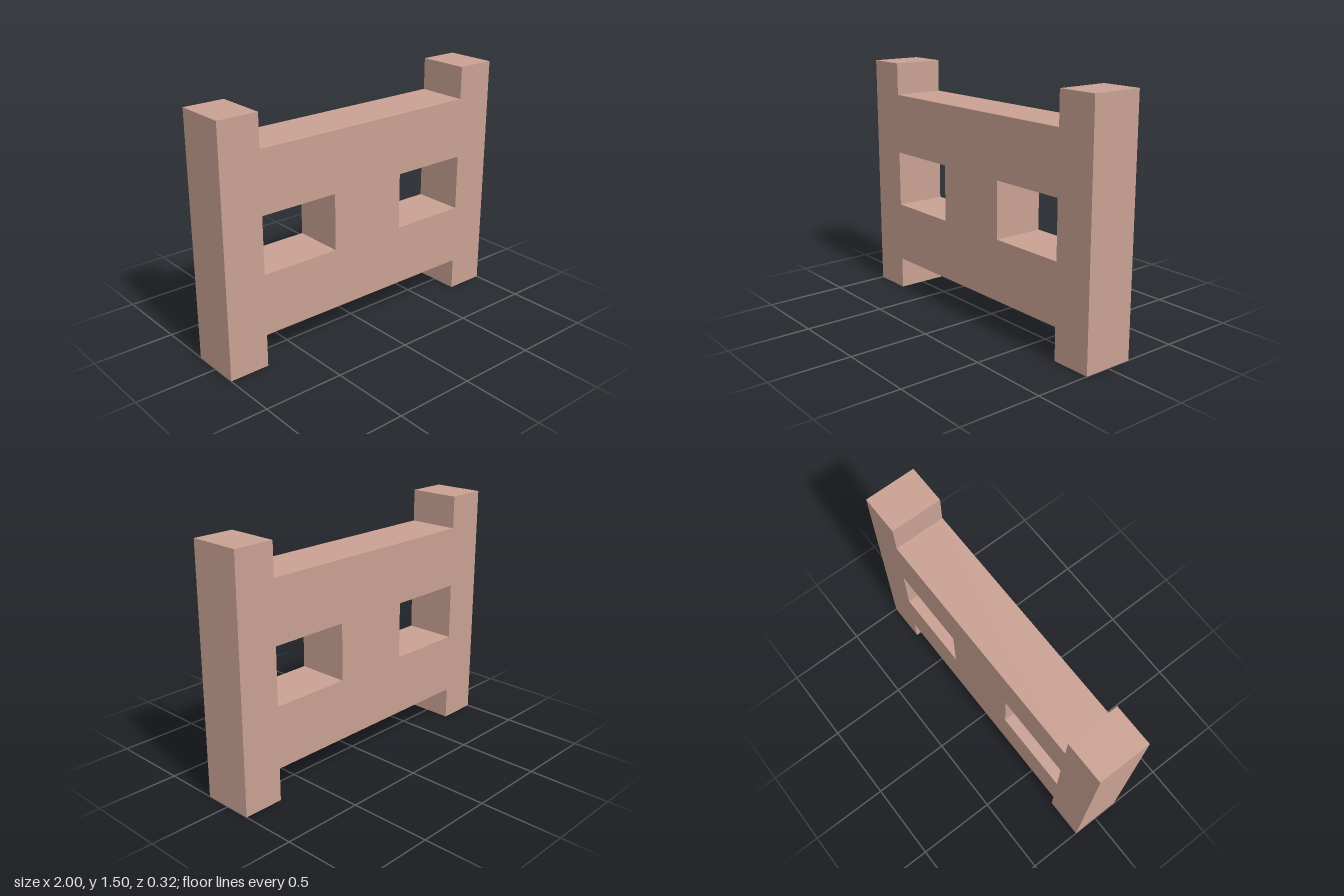
import * as THREE from 'three';

const DEPTH = 0.32;

// closed path from a list of [x, y] corners
function trace(path, corners) {
  path.setFromPoints(corners.map(([x, y]) => new THREE.Vector2(x, y)));
  path.closePath();
  return path;
}

export function createModel() {
  const group = new THREE.Group();
  group.name = 'fencePanel';
  const clay = new THREE.MeshStandardMaterial({ color: 0xc9a193 });
  clay.name = 'clay pink';

  // H-shaped outline: two end posts joined by a recessed-height wall
  const outline = trace(new THREE.Shape(), [
    [-1, 0], [-0.75, 0], [-0.75, 0.2], [0.75, 0.2], [0.75, 0], [1, 0],
    [1, 1.5], [0.75, 1.5], [0.75, 1.3], [-0.75, 1.3], [-0.75, 1.5], [-1, 1.5],
  ]);

  // a rectangular opening on each side of the middle post
  for (const [x0, x1] of [[-0.75, -0.25], [0.25, 0.75]]) {
    outline.holes.push(trace(new THREE.Path(), [
      [x0, 0.575], [x0, 0.925], [x1, 0.925], [x1, 0.575],
    ]));
  }

  const geometry = new THREE.ExtrudeGeometry(outline, { depth: DEPTH, bevelEnabled: false });
  geometry.translate(0, 0, -DEPTH / 2);
  const panel = new THREE.Mesh(geometry, clay);
  panel.name = 'panelWithOpenings';
  group.add(panel);
  return group;
}
